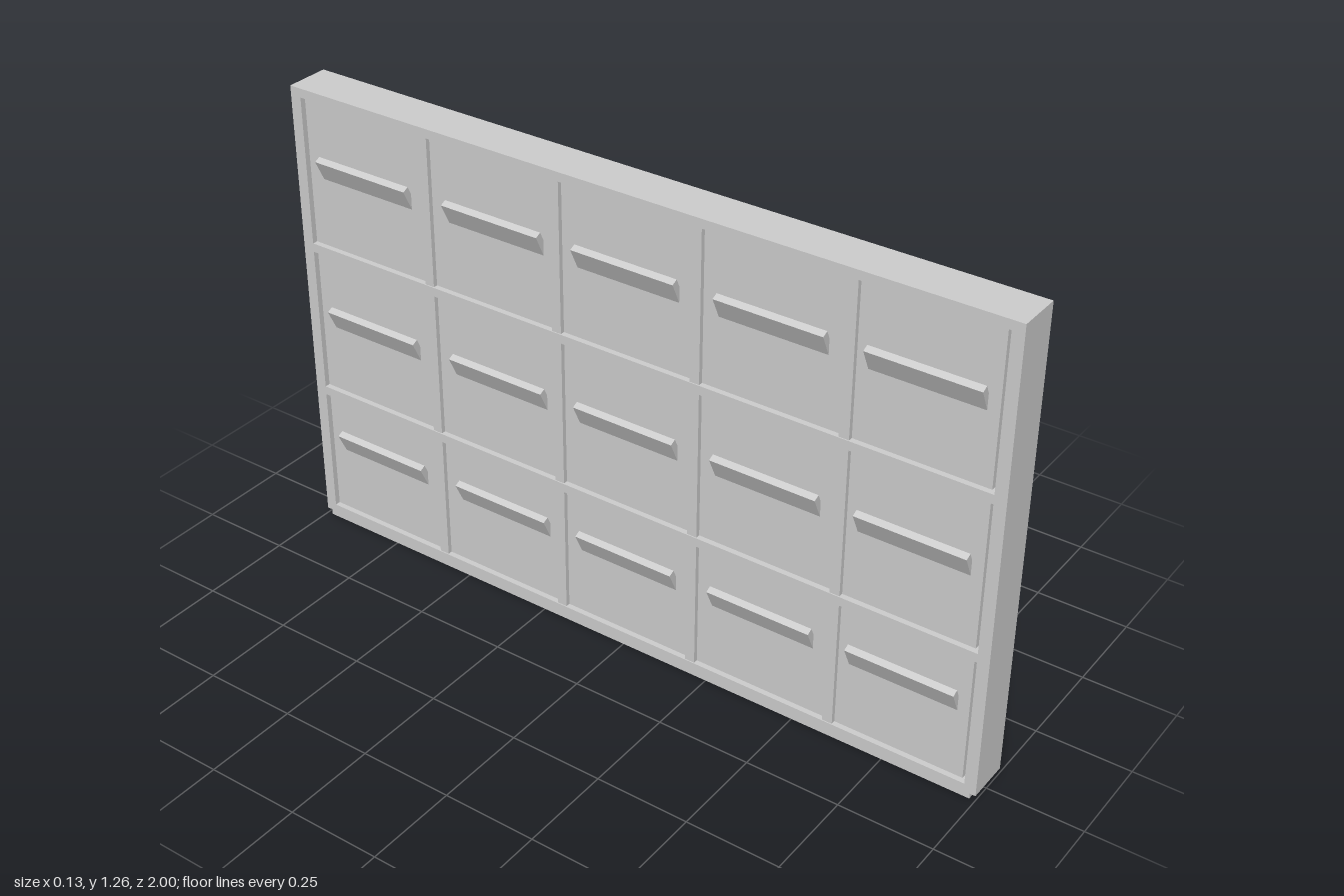
import * as THREE from 'three';

export function createModel() {
  const root = new THREE.Group();
  root.name = 'binRack';
  const grey = new THREE.MeshStandardMaterial({ color: 0xcccccc });
  grey.name = 'light grey';

  // Box given by its min and max on each axis
  function box(name, x0, x1, y0, y1, z0, z1) {
    const mesh = new THREE.Mesh(new THREE.BoxGeometry(x1 - x0, y1 - y0, z1 - z0), grey);
    mesh.name = name;
    mesh.position.set((x0 + x1) / 2, (y0 + y1) / 2, (z0 + z1) / 2);
    root.add(mesh);
  }

  const back = -0.055, front = 0.064, top = 1.265, inner = 0.969;

  // Outer frame
  box('foot', back, front, 0, 0.016, -0.985, 0.985);
  box('bottomBoard', back, front, 0.015, 0.037, -inner, inner);
  box('topBoard', back, front, 1.241, top, -1, 1);
  for (const s of [-1, 1]) {
    box('sideWall', back, front, 0.015, 1.241, s === 1 ? inner : -1, s === 1 ? 1 : -inner);
  }

  // Shelves
  for (const y of [0.415, 0.84]) box('shelf', back, front, y - 0.024, y, -inner, inner);

  // Back panel, leaving a narrow slot at one end
  box('backPanel', -0.04, -0.015, 0.03, 1.245, -inner, 0.956);

  // Upright dividers
  for (const z of [0.597, 0.2, -0.195, -0.586]) {
    box('divider', -0.052, 0.055, 0.03, 1.245, z - 0.0135, z + 0.0135);
  }

  // Slanted plate cross-section, in x and height above its shelf
  const section = new THREE.Shape([
    [0.049, 0], [0.065, 0.008], [-0.051, 0.252], [-0.067, 0.244],
  ].map(([x, y]) => new THREE.Vector2(x, y)));
  const width = 0.286;
  const plate = new THREE.ExtrudeGeometry(section, { depth: width, bevelEnabled: false });
  plate.translate(0, 0, -width / 2);

  // Each row has a support rail and five slanted plates
  for (const y of [0.037, 0.415, 0.84]) {
    box('rail', -0.005, 0.022, y + 0.038, y + 0.07, -inner, inner);
    for (const z of [0.783, 0.398, 0.005, -0.38, -0.783]) {
      const mesh = new THREE.Mesh(plate, grey);
      mesh.name = 'slantedPlate';
      mesh.position.set(0, y, z);
      root.add(mesh);
    }
  }
  return root;
}
